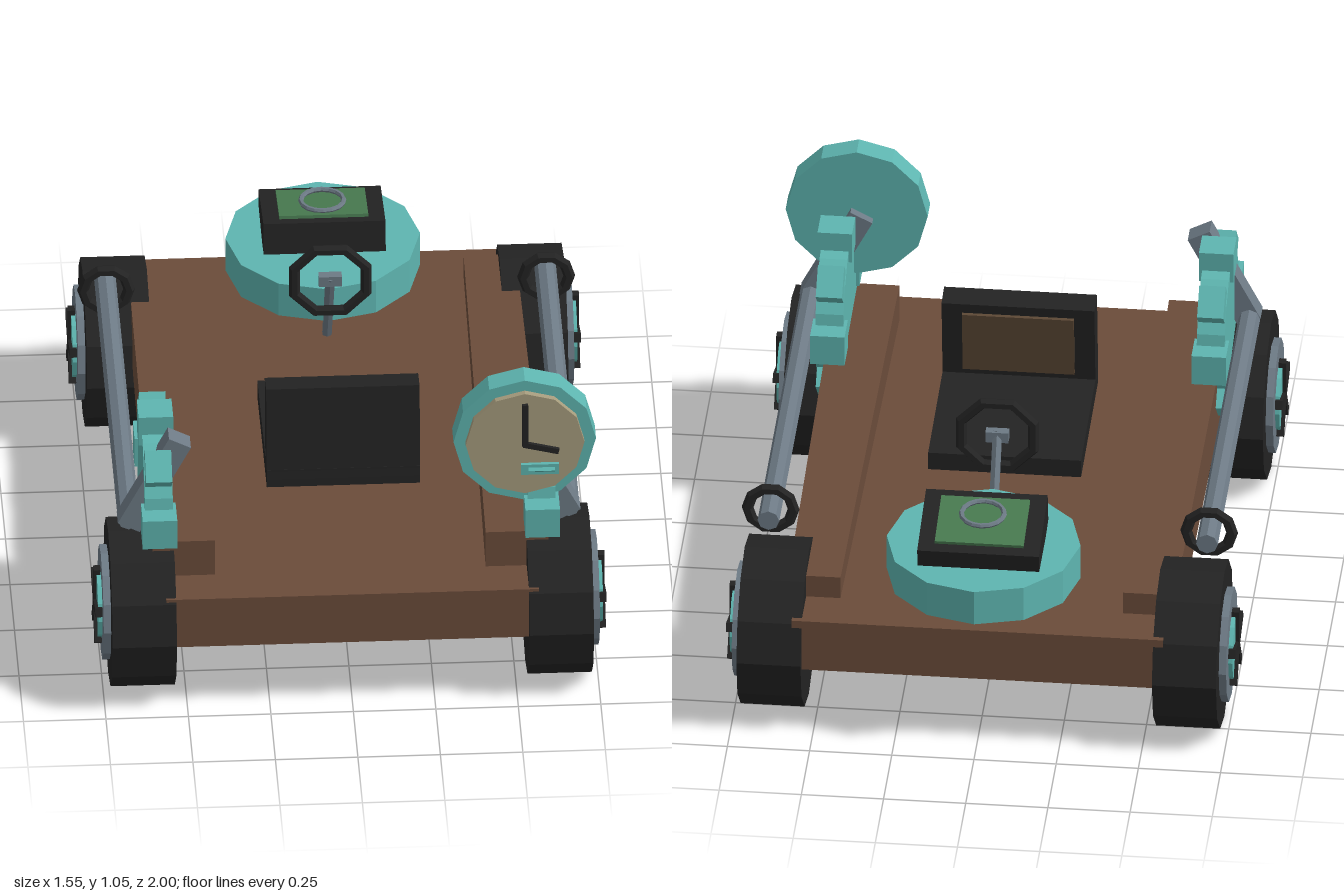
import * as THREE from 'three';

const paint = (name, color) => {
  const m = new THREE.MeshStandardMaterial({ color });
  m.name = name;
  m.flatShading = true;
  return m;
};

export function createModel() {
  const root = new THREE.Group();
  root.name = 'kart';
  const wood = paint('wood brown', 0x6b4c3a);
  const seatBrown = paint('seat brown', 0x5c4835);
  const black = paint('rubber black', 0x232323);
  const teal = paint('teal', 0x5eb5b0);
  const grey = paint('steel grey', 0x6d7a85);
  const tan = paint('dial tan', 0xa69c7d);
  const green = paint('panel green', 0x487a50);

  // helpers
  const add = (parent, name, geo, mat, x = 0, y = 0, z = 0) => {
    const m = new THREE.Mesh(geo, mat);
    m.name = name;
    m.position.set(x, y, z);
    parent.add(m);
    return m;
  };
  const group = (name, x = 0, y = 0, z = 0) => {
    const g = new THREE.Group();
    g.name = name;
    g.position.set(x, y, z);
    root.add(g);
    return g;
  };
  const box = (w, h, d) => new THREE.BoxGeometry(w, h, d);
  const disc = (r, t, n = 12) => new THREE.CylinderGeometry(r, r, t, n);
  const discX = (r, t, n) => disc(r, t, n).rotateZ(Math.PI / 2);
  const discZ = (r, t, n) => disc(r, t, n).rotateX(Math.PI / 2);
  // round or square bar between two points
  const bar = (parent, name, geoFor, mat, a, b) => {
    const p = new THREE.Vector3(...a), q = new THREE.Vector3(...b);
    const m = add(parent, name, geoFor(p.distanceTo(q)), mat);
    m.position.copy(p).add(q).multiplyScalar(0.5);
    m.quaternion.setFromUnitVectors(new THREE.Vector3(0, 1, 0), q.sub(p).normalize());
    return m;
  };

  // floor
  add(root, 'chassis', box(1.13, 0.172, 1.865), wood, 0, 0.316, 0.03);

  // wheel with hub and five-spoke star
  const wheel = (s, z) => {
    const g = group('wheel', 0, 0.259, z);
    add(g, 'tyre', discX(0.257, 0.195), black, s * 0.632);
    add(g, 'rim', discX(0.175, 0.03), grey, s * 0.737);
    add(g, 'hubDisc', discX(0.11, 0.02), teal, s * 0.755);
    for (let i = 0; i < 5; i++) {
      const a = (i * Math.PI * 2) / 5;
      const spoke = add(g, 'spoke', box(0.022, 0.128, 0.028).translate(0, 0.06, 0), black, s * 0.764);
      spoke.rotation.x = a;
    }
  };

  for (const s of [1, -1]) {
    wheel(s, 0.745);
    wheel(s, -0.677);

    // side rail, lower and narrower towards the back
    const rail = box(0.19, 0.215, 1.59);
    const p = rail.attributes.position;
    for (let i = 0; i < p.count; i++) {
      const back = p.getZ(i) < 0;
      if (back && p.getY(i) > 0) p.setY(i, 0.0575);
      if (back) p.setX(i, p.getX(i) + (p.getX(i) * s < 0 ? s * 0.02 : -s * 0.012));
    }
    rail.computeVertexNormals();
    add(root, 'sideRail', rail, wood, s * 0.505, 0.418, 0.035);

    // long pipe with a ring at the back and a slanted arm at the front
    add(root, 'pipe', discZ(0.033, 1.33, 8), grey, s * 0.667, 0.553, 0.082);
    add(root, 'pipeRing', new THREE.TorusGeometry(0.07, 0.018, 6, 10), black, s * 0.667, 0.556, -0.515);
    bar(root, 'gearArm', (l) => box(0.075, l, 0.065), grey, [s * 0.668, 0.54, 0.735], [s * 0.513, 0.84, 0.735]);

    // eight-toothed gear
    const gear = group('gear', s * 0.58, 0.591, 0.613);
    add(gear, 'gearDisc', discX(0.225, 0.085, 16), teal);
    for (let i = 0; i < 8; i++) {
      const tooth = add(gear, 'gearTooth', box(i % 2 ? 0.08 : 0.105, 0.1, 0.1).translate(0, 0.227, 0), teal);
      tooth.rotation.x = (i * Math.PI) / 4;
    }
  }

  // clock on the left gear
  const clock = group('clock', 0.53, 0.84, 0.768);
  add(clock, 'clockCase', discZ(0.216, 0.075), teal);
  add(clock, 'clockFace', discZ(0.18, 0.02), tan, 0, 0, 0.047);
  add(clock, 'minuteHand', box(0.018, 0.15, 0.012), black, 0, 0.07, 0.062);
  const hour = add(clock, 'hourHand', box(0.11, 0.018, 0.012).translate(0.05, 0, 0), black, 0, 0, 0.062);
  hour.rotation.z = -0.25;
  add(clock, 'clockBar', box(0.115, 0.036, 0.016), teal, 0.045, -0.088, 0.06);

  // seat, facing the back
  const seat = group('seat', 0, 0.482, 0.19);
  add(seat, 'seatCushion', box(0.465, 0.06, 0.52), black).rotation.x = -0.035;
  const back = add(seat, 'seatBack', box(0.465, 0.305, 0.08).translate(0, 0.15, 0), black, 0, 0.005, 0.222);
  back.rotation.x = -0.12;
  add(back, 'backPanel', box(0.34, 0.21, 0.014), seatBrown, 0, 0.165, -0.044);

  // steering wheel and column
  const steer = group('steering');
  const ring = new THREE.TorusGeometry(0.118, 0.018, 6, 8).rotateZ(Math.PI / 8);
  add(steer, 'steeringWheel', ring, black, 0, 0.717, -0.285);
  bar(steer, 'steeringColumn', (l) => disc(0.016, l, 6), grey, [0, 0.73, -0.285], [0, 0.4, -0.47]);
  add(steer, 'steeringHub', box(0.07, 0.035, 0.03), grey, 0, 0.717, -0.29);

  // round rear table with a tilted instrument box
  add(root, 'rearDisc', disc(0.295, 0.115), teal, 0, 0.543, -0.705);
  const panel = group('instrument', 0, 0.638, -0.733);
  panel.rotation.x = -0.19;
  add(panel, 'instrumentBox', box(0.37, 0.1, 0.275), black);
  add(panel, 'instrumentScreen', box(0.27, 0.012, 0.205), green, 0, 0.054, 0);
  const dial = add(root, 'instrumentRing', new THREE.TorusGeometry(0.065, 0.008, 6, 16), grey, 0, 0.713, -0.73);
  dial.rotation.x = -Math.PI / 2 - 0.06;

  return root;
}
